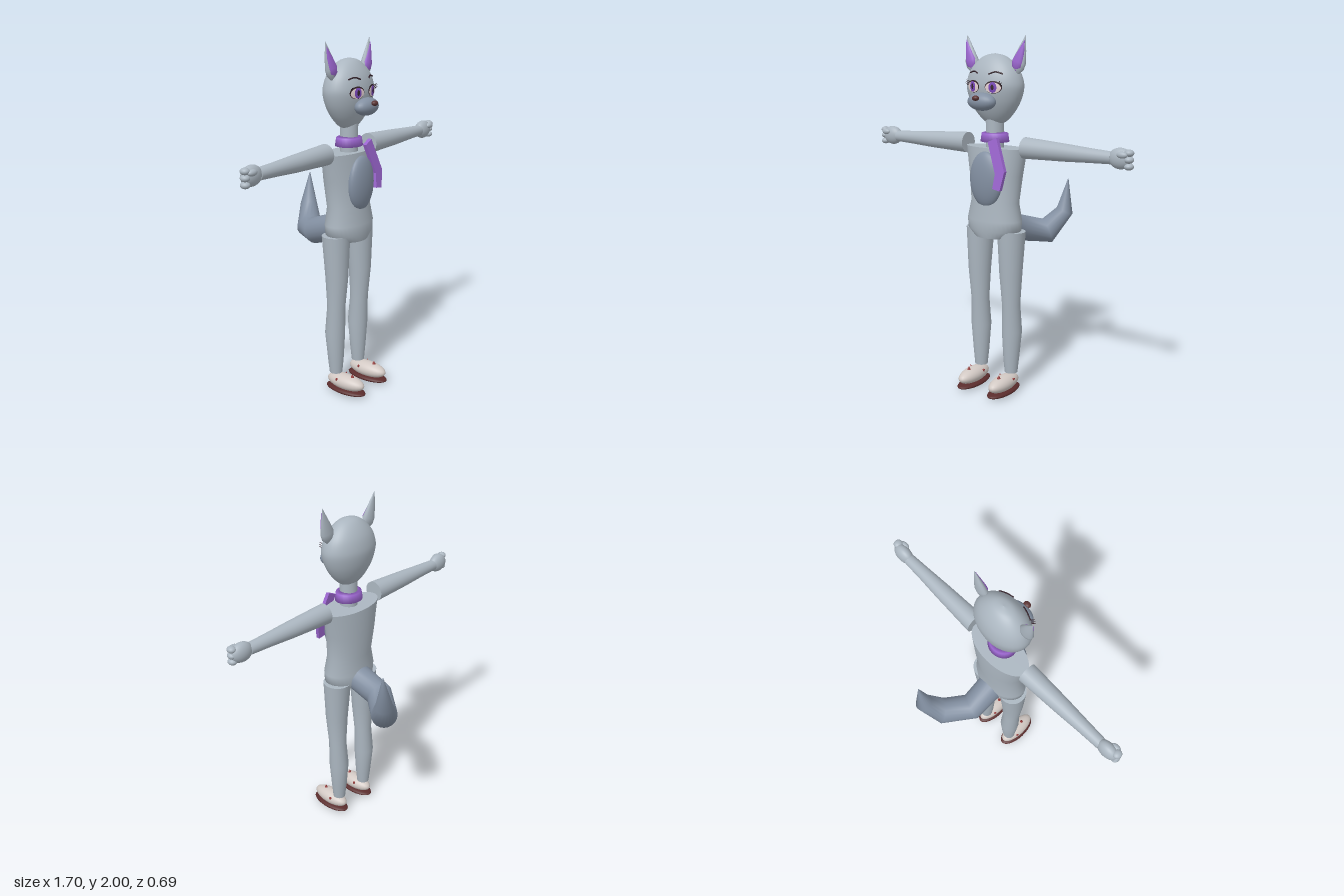
import * as THREE from 'three';

const mat = (name, color, side = THREE.FrontSide) => {
  const m = new THREE.MeshStandardMaterial({ color, side });
  m.name = name;
  return m;
};

export function createModel() {
  const fur = mat('grey fur', 0xabb6c0), slate = mat('slate fur', 0x8390a2);
  const purple = mat('purple cloth', 0x9c66d0, THREE.DoubleSide);
  const cream = mat('cream shoe', 0xd2c9c4), sole = mat('dark sole', 0x5a2c2c);
  const red = mat('red spike', 0x963a3a), white = mat('eye white', 0xe6d3d3);
  const iris = mat('violet iris', 0x7a48bc), dark = mat('dark line', 0x35242c);
  const brown = mat('brown nose', 0x5c3535);
  const root = new THREE.Group();

  const add = (name, geo, m, parent = root) => {
    const mesh = new THREE.Mesh(geo, m);
    mesh.name = name;
    parent.add(mesh);
    return mesh;
  };
  const ball = (name, m, p, r, parent = root) => {
    const geo = new THREE.SphereGeometry(1, 28, 18).scale(...r);
    const mesh = add(name, geo, m, parent);
    mesh.position.set(...p);
    return mesh;
  };

  // Skin of elliptical rings [x, y, z, radius, depth ratio] with capped ends
  const loft = (rings, ref, n = 24) => {
    const pos = [], idx = [];
    const c = rings.map(r => new THREE.Vector3(r[0], r[1], r[2]));
    const last = rings.length - 1;
    rings.forEach((ring, i) => {
      const t = new THREE.Vector3();
      if (i > 0) t.add(c[i].clone().sub(c[i - 1]).normalize());
      if (i < last) t.add(c[i + 1].clone().sub(c[i]).normalize());
      t.normalize();
      const u = new THREE.Vector3().crossVectors(ref, t).normalize();
      const v = new THREE.Vector3().crossVectors(t, u);
      for (let j = 0; j < n; j++) {
        const a = j / n * Math.PI * 2;
        const p = c[i].clone().addScaledVector(u, Math.cos(a) * ring[3])
          .addScaledVector(v, Math.sin(a) * ring[3] * (ring[4] ?? 1));
        pos.push(p.x, p.y, p.z);
      }
    });
    for (let i = 0; i < last; i++) for (let j = 0; j < n; j++) {
      const a = i * n + j, b = i * n + (j + 1) % n;
      idx.push(a, b, a + n, b, b + n, a + n);
    }
    for (const e of [0, last]) {
      const start = pos.length / 3;
      pos.push(...pos.slice(e * n * 3, (e + 1) * n * 3), ...c[e].toArray());
      for (let j = 0; j < n; j++) {
        const a = start + j, b = start + (j + 1) % n;
        idx.push(...(e ? [a, b, start + n] : [b, a, start + n]));
      }
    }
    const geo = new THREE.BufferGeometry();
    geo.setAttribute('position', new THREE.Float32BufferAttribute(pos, 3));
    geo.setIndex(idx);
    geo.computeVertexNormals();
    return geo;
  };
  const X = new THREE.Vector3(1, 0, 0), Z = new THREE.Vector3(0, 0, 1);

  // Head: egg shape, shallower than wide
  const headZ = 0.135, headK = 0.665;
  const profile = new THREE.SplineCurve([[0, 1.53], [0.05, 1.534], [0.085, 1.557], [0.123, 1.6],
    [0.155, 1.655], [0.173, 1.715], [0.171, 1.76], [0.15, 1.813], [0.11, 1.86], [0.06, 1.893],
    [0, 1.905]].map(p => new THREE.Vector2(...p))).getPoints(40);
  profile.forEach(p => { p.x = Math.max(p.x, 0); });
  add('head', new THREE.LatheGeometry(profile, 40).scale(1, 1, headK), fur).position.z = headZ;
  const faceZ = (x, y) => {
    const i = Math.max(1, profile.findIndex(p => p.y >= y));
    const a = profile[i - 1], b = profile[i];
    const r = a.x + (b.x - a.x) * (y - a.y) / (b.y - a.y);
    return headZ + headK * Math.sqrt(Math.max(0, r * r - x * x));
  };
  // Thin oval laid on the face
  const patch = (name, m, x, y, rx, ry, lift) => {
    const geo = new THREE.RingGeometry(0.001, 1, 28, 5).scale(rx, ry, 1).translate(x, y, 0);
    const p = geo.attributes.position;
    for (let i = 0; i < p.count; i++) p.setZ(i, faceZ(p.getX(i), p.getY(i)) + lift);
    geo.computeVertexNormals();
    add(name, geo, m);
  };
  const faceLine = (name, pts, r) => {
    const curve = new THREE.CatmullRomCurve3(
      pts.map(([x, y]) => new THREE.Vector3(x, y, faceZ(x, y) + 0.003)));
    add(name, new THREE.TubeGeometry(curve, 12, r, 6), dark);
  };

  ball('muzzle', slate, [0, 1.655, 0.255], [0.088, 0.048, 0.05]);
  ball('nose', brown, [0, 1.677, 0.307], [0.021, 0.014, 0.017]);
  add('neck', new THREE.CylinderGeometry(0.05, 0.05, 0.18, 24), fur).position.set(0, 1.47, 0.14);

  // Torso and belly patch
  add('torso', loft([[0, 0.905, 0.145, 0.115, 0.87], [0, 0.945, 0.145, 0.166, 0.66],
    [0, 1.0, 0.144, 0.17, 0.66], [0, 1.1, 0.14, 0.149, 0.67], [0, 1.25, 0.13, 0.166, 0.64],
    [0, 1.4, 0.125, 0.195, 0.5]], Z, 36), fur);
  ball('belly', slate, [0, 1.23, 0.222], [0.105, 0.155, 0.048]);

  // Neckerchief
  const band = [[0.045, 1.43], [0.083, 1.432], [0.076, 1.478], [0.05, 1.485], [0.045, 1.43]];
  const collar = new THREE.LatheGeometry(band.map(p => new THREE.Vector2(...p)), 28);
  add('collar', collar.scale(1, 1, 0.88), purple).position.z = 0.14;
  const tieShape = new THREE.Shape([[0.025, 1.44], [0.08, 1.465], [0.15, 1.29], [0.13, 1.187],
    [0.08, 1.195], [0.09, 1.275]].map(p => new THREE.Vector2(...p)));
  const tie = new THREE.ExtrudeGeometry(tieShape, { depth: 0.022, bevelEnabled: false });
  const tp = tie.attributes.position;
  for (let i = 0; i < tp.count; i++) tp.setZ(i, tp.getZ(i) + 0.212 + (1.465 - tp.getY(i)) * 0.14);
  tie.computeVertexNormals();
  add('scarf end', tie, purple);

  // Tail: bends sideways and then up to a point
  add('tail', loft([[0, 0.955, 0.07, 0.08], [0, 0.9, -0.095, 0.077], [0.105, 0.872, -0.228, 0.075],
    [0.182, 0.99, -0.295, 0.05], [0.2, 1.18, -0.3, 0.002]], X, 20), slate);

  for (const s of [1, -1]) {
    const side = s > 0 ? 'left' : 'right';

    // Ear with inner lining
    const ear = (k, dz) => loft([[0.15, 1.8, 0.01], [0.152, 1.825, 0.036], [0.157, 1.86, 0.043],
      [0.176, 1.925, 0.025], [0.195, 2, 0.001]].map(([x, y, r]) =>
      [s * x, 1.88 + (y - 1.88) * k, 0.14 + dz - (y - 1.8) * 0.06, r * k, 0.55]), Z, 16);
    add(side + ' ear', ear(1, 0), fur);
    add(side + ' ear lining', ear(0.8, 0.009), purple);

    // Eye, brow and lashes
    const ex = s * 0.066;
    patch(side + ' eye outline', dark, ex, 1.733, 0.047, 0.033, 0.002);
    patch(side + ' eye white', white, ex, 1.73, 0.043, 0.028, 0.004);
    patch(side + ' iris', iris, ex, 1.732, 0.022, 0.028, 0.006);
    patch(side + ' pupil', dark, ex, 1.733, 0.008, 0.015, 0.008);
    faceLine(side + ' brow', [[s * 0.035, 1.8], [s * 0.07, 1.812], [s * 0.11, 1.802]], 0.004);
    for (const a of [0.15, 0.45, 0.75]) {
      const x = s * (0.066 + 0.044 * Math.cos(a)), y = 1.733 + 0.033 * Math.sin(a);
      const lash = add(side + ' lash', new THREE.ConeGeometry(0.004, 0.03, 6), dark);
      lash.position.set(x + s * 0.006, y + 0.005, faceZ(x, y) + 0.008);
      lash.quaternion.setFromUnitVectors(new THREE.Vector3(0, 1, 0),
        new THREE.Vector3(s * 0.7, 0.5, 0.5).normalize());
    }

    // Arm, hand and fingers
    add(side + ' arm', loft([[0.195, 1.41, 0.13, 0.058], [0.45, 1.407, 0.132, 0.047],
      [0.6, 1.406, 0.133, 0.038], [0.73, 1.405, 0.133, 0.032]]
      .map(([x, ...r]) => [s * x, ...r]), Z), fur);
    ball(side + ' hand', fur, [s * 0.775, 1.407, 0.133], [0.066, 0.054, 0.038]);
    for (const dy of [-0.034, 0, 0.034])
      ball(side + ' finger', fur, [s * 0.828, 1.405 + dy, 0.142], [0.024, 0.018, 0.026]);
    ball(side + ' thumb', fur, [s * 0.8, 1.43, 0.165], [0.03, 0.017, 0.017]);

    // Leg
    add(side + ' leg', loft([[0.108, 0.11, 0.138, 0.037], [0.108, 0.2, 0.136, 0.046],
      [0.11, 0.36, 0.132, 0.058], [0.11, 0.52, 0.14, 0.052], [0.11, 0.7, 0.143, 0.065],
      [0.108, 0.94, 0.135, 0.08]].map(([x, ...r]) => [s * x, ...r]), Z), fur);

    // Shoe with sole and small spikes
    const shoe = new THREE.Group();
    shoe.name = side + ' shoe';
    shoe.position.set(s * 0.108, 0, 0.21);
    root.add(shoe);
    ball('upper', cream, [0, 0.066, 0], [0.053, 0.045, 0.125], shoe);
    ball('sole', sole, [0, 0.02, 0], [0.06, 0.02, 0.133], shoe);
    for (const [x, y, z, tilt] of [[0, 0.113, 0.045, 0], [0.046, 0.088, -0.035, -0.9],
      [-0.046, 0.088, -0.035, 0.9]]) {
      const spike = add('spike', new THREE.ConeGeometry(0.014, 0.026, 8), red, shoe);
      spike.position.set(x, y, z);
      spike.rotation.z = tilt;
    }
  }
  return root;
}
